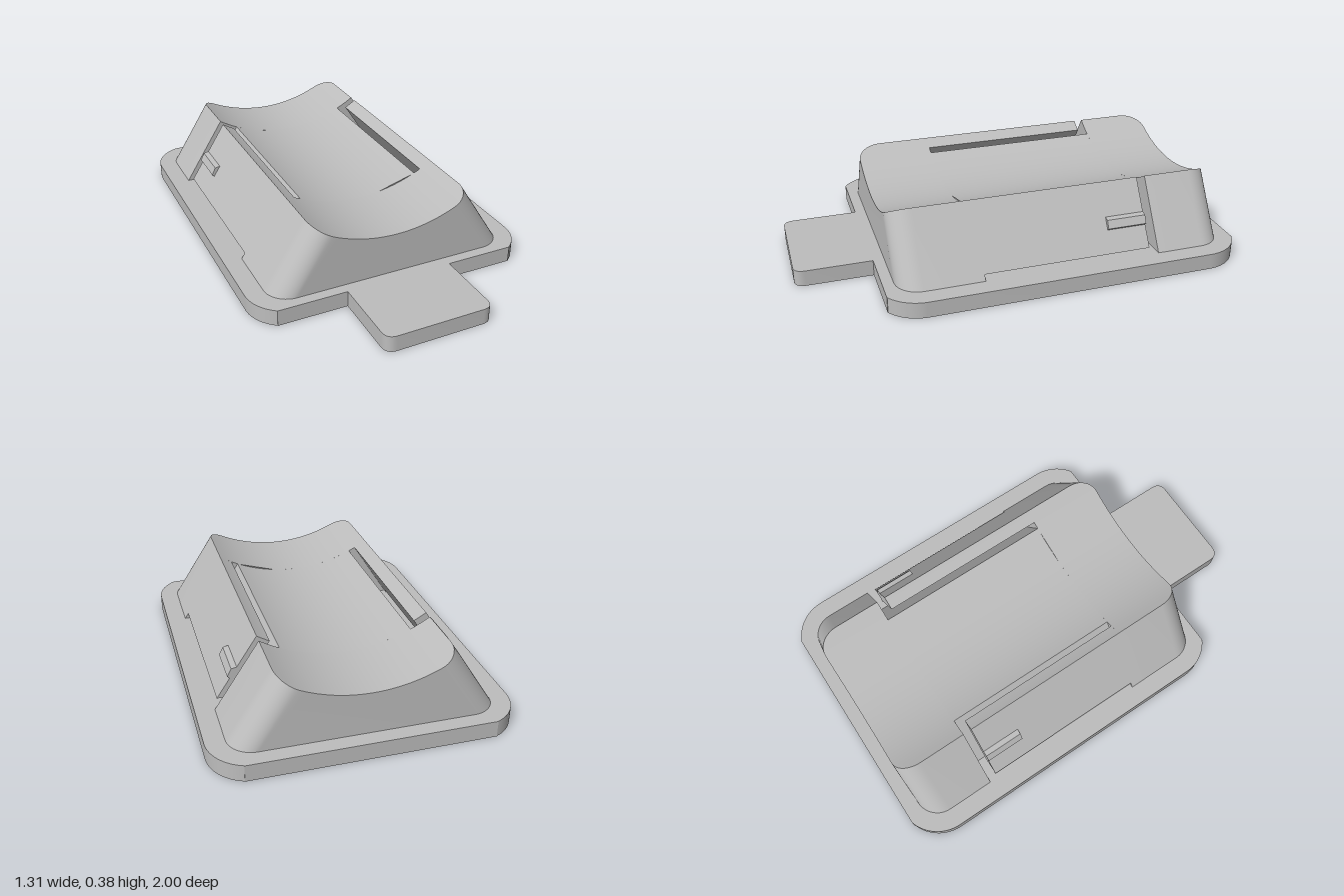
import * as THREE from 'three';
import { toCreasedNormals } from 'three/addons/utils/BufferGeometryUtils.js';

const FLOOR = 0.075, SLOPE = 0.65, HALF = 0.57, RADIUS = 0.694, DIP = 0.265;
const SLOT_IN = 0.116, ARM = 0.076;

// Concave saddle height, and the sloping flank moved inward by an offset
const saddle = x => DIP + RADIUS - Math.sqrt(RADIUS * RADIUS - x * x);
const flank = (side, inset, y) => side * (HALF - inset - SLOPE * (y - FLOOR));

// Where a flank meets the saddle
function rim(side, inset) {
  let x = 0.35 * side;
  for (let i = 0; i < 40; i++) x = flank(side, inset, saddle(x));
  return x;
}

// Cross-section between two flanks, each given as [side, inset]
function section(left, right, y0 = FLOOR, steps = 24) {
  const pts = [
    new THREE.Vector2(flank(...left, y0), y0),
    new THREE.Vector2(flank(...right, y0), y0),
  ];
  const a = rim(...right), b = rim(...left);
  for (let i = 0; i <= steps; i++) {
    const x = a + (b - a) * i / steps;
    pts.push(new THREE.Vector2(x, saddle(x)));
  }
  return pts;
}

// Closed solid through sections ordered by rising z
function loft(stations) {
  const pos = [];
  const put = (s, i) => pos.push(s.pts[i].x, s.pts[i].y, s.z);
  const n = stations[0].pts.length;
  for (let k = 0; k + 1 < stations.length; k++) {
    const p = stations[k], q = stations[k + 1];
    for (let i = 0; i < n; i++) {
      const j = (i + 1) % n;
      put(p, i); put(p, j); put(q, j);
      put(p, i); put(q, j); put(q, i);
    }
  }
  const first = stations[0], last = stations[stations.length - 1];
  for (const [a, b, c] of THREE.ShapeUtils.triangulateShape(last.pts, [])) {
    put(last, a); put(last, b); put(last, c);
    put(first, a); put(first, c); put(first, b);
  }
  const g = new THREE.BufferGeometry();
  g.setAttribute('position', new THREE.Float32BufferAttribute(pos, 3));
  return toCreasedNormals(g, 0.45);
}

// Symmetric body section with both flanks inset equally
const bodyStation = (z, inset) => ({ z, pts: section([-1, inset], [1, inset]) });

// Body end with rounded upright corners; dir is +1 front, -1 back
function roundedEnd(zInner, zOuter, dir) {
  const r = 0.11, steps = 10, list = [bodyStation(zInner, 0)];
  for (let i = 0; i <= steps; i++) {
    const a = i / steps * Math.PI / 2;
    list.push(bodyStation(zOuter - dir * r * (1 - Math.sin(a)), r * (1 - Math.cos(a))));
  }
  return loft(dir > 0 ? list : list.reverse());
}

export function createModel() {
  const model = new THREE.Group();
  const grey = new THREE.MeshStandardMaterial({ color: 0xbdbdbd });
  grey.name = 'plain grey';
  const add = (name, geometry) => {
    const mesh = new THREE.Mesh(geometry, grey);
    mesh.name = name;
    model.add(mesh);
    return mesh;
  };

  // Base plate with rounded corners and a front tab
  const o = new THREE.Shape();
  o.moveTo(-0.25, -0.65);
  o.lineTo(-0.25, -0.95);
  o.quadraticCurveTo(-0.25, -1, -0.2, -1);
  o.lineTo(0.2, -1);
  o.quadraticCurveTo(0.25, -1, 0.25, -0.95);
  o.lineTo(0.25, -0.65);
  o.lineTo(0.57, -0.65);
  o.absarc(0.465, -0.49, 0.19, -0.986, 0);
  o.absarc(0.465, 0.82, 0.19, 0, 1.22);
  o.lineTo(0.53, 1);
  o.lineTo(-0.53, 1);
  o.absarc(-0.465, 0.82, 0.19, Math.PI - 1.22, Math.PI);
  o.absarc(-0.465, -0.49, 0.19, Math.PI, Math.PI + 0.986);
  o.lineTo(-0.57, -0.65);
  const plate = new THREE.ExtrudeGeometry(o, { depth: FLOOR, bevelEnabled: false, curveSegments: 10 });
  plate.rotateX(-Math.PI / 2);
  add('basePlate', toCreasedNormals(plate, 0.45));

  // Saddle body: full-width ends, and a narrower core between the slots
  add('bodyFront', roundedEnd(0.245, 0.6, 1));
  add('bodyBack', roundedEnd(-0.6, -0.93, -1));
  add('bodyCore', loft([bodyStation(-0.6, SLOT_IN), bodyStation(0.245, SLOT_IN)]));

  for (const side of [1, -1]) {
    const label = side > 0 ? 'left' : 'right';
    const edges = [[side, side > 0 ? ARM : 0], [side, side > 0 ? 0 : ARM]];

    // Spring arm, free at the back and lifted off the plate
    const arm = section(...edges, 0.1, 6);
    add(label + 'ClipArm', loft([{ z: -0.56, pts: arm }, { z: 0.22, pts: arm }]));
    const root = section(...edges, FLOOR, 6);
    add(label + 'ClipRoot', loft([{ z: 0.22, pts: root }, { z: 0.245, pts: root }]));

    // Catch ridge on the arm
    const ridge = new THREE.Shape([[0.45, 0.24], [0.463, 0.24], [0.487, 0.235], [0.505, 0.2], [0.495, 0.19], [0.47, 0.19]]
      .map(([x, y]) => new THREE.Vector2(side * x, y)));
    add(label + 'Catch', new THREE.ExtrudeGeometry(ridge, { depth: 0.185, bevelEnabled: false }))
      .position.z = -0.56;
  }
  return model;
}
